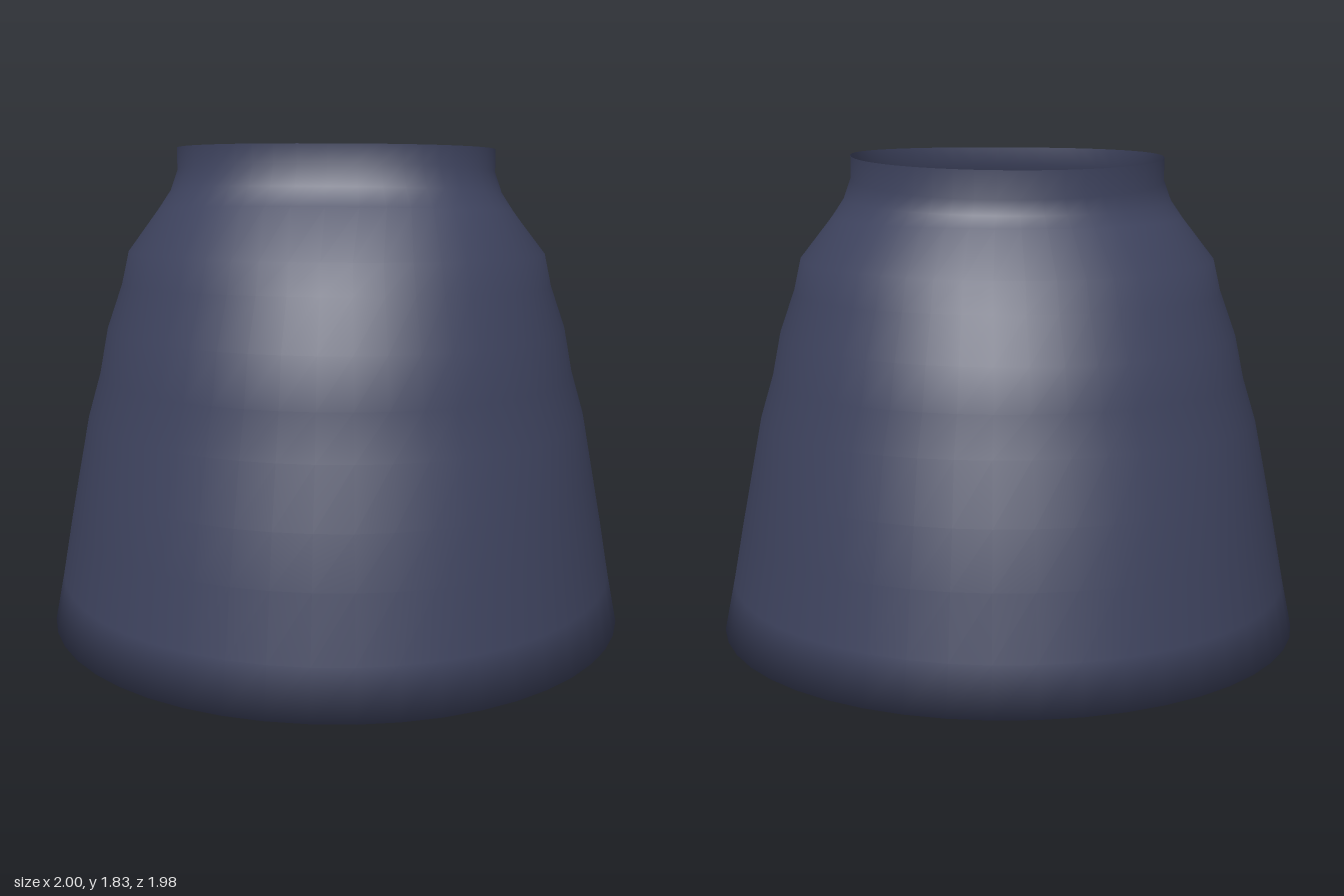
import * as THREE from 'three';

const SIDES = 48;

// Each ring: [side y, front y, back y, half width, front z, back z]
const bodyRings = [
  [0.00, 0.00, 0.00, 0.58, 0.42, -0.42],
  [0.18, 0.185, 0.175, 1.00, 0.99, -0.99],
  [0.35, 0.35, 0.33, 0.965, 0.96, -0.96],
  [0.54, 0.56, 0.53, 0.93, 0.905, -0.91],
  [0.72, 0.73, 0.71, 0.895, 0.87, -0.87],
  [0.90, 0.92, 0.90, 0.86, 0.80, -0.80],
  [1.05, 1.07, 1.03, 0.815, 0.765, -0.765],
  [1.20, 1.23, 1.165, 0.785, 0.725, -0.725],
  [1.34, 1.39, 1.31, 0.735, 0.63, -0.635],
  [1.45, 1.49, 1.41, 0.71, 0.60, -0.60],
  [1.59, 1.64, 1.56, 0.60, 0.435, -0.47],
  [1.65, 1.70, 1.60, 0.56, 0.39, -0.445],
  [1.72, 1.77, 1.65, 0.535, 0.365, -0.43],
  [1.795, 1.83, 1.74, 0.535, 0.365, -0.43],
];

// Short turned-in edge around the lower opening
const lipRings = [
  [0.04, 0.04, 0.04, 0.575, 0.415, -0.415],
  [0.00, 0.00, 0.00, 0.58, 0.42, -0.42],
];

const power = (v, n) => Math.sign(v) * Math.pow(Math.abs(v), 2 / n);

// Joins tilted oval rings into an open tube with shared, smooth vertices
function loft(rings) {
  const positions = [], index = [];
  rings.forEach(([side, front, back, width, zFront, zBack], r) => {
    for (let i = 0; i < SIDES; i++) {
      const a = (i / SIDES) * Math.PI * 2;
      const s = Math.sin(a), c = Math.cos(a);
      // The front half of the neck and the lower opening are a bit squarer
      const n = (r > 9 && c > 0) || width === 0.58 || width === 0.575 ? 2.35 : 2.04;
      const t = power(c, n);
      const y = t > 0 ? side + (front - side) * t : side + (side - back) * t;
      positions.push(width * power(s, n), y, t > 0 ? zFront * t : -zBack * t);
      if (r > 0) {
        const j = (i + 1) % SIDES, lo = (r - 1) * SIDES, hi = r * SIDES;
        index.push(lo + i, lo + j, hi + j, lo + i, hi + j, hi + i);
      }
    }
  });
  const geometry = new THREE.BufferGeometry();
  geometry.setAttribute('position', new THREE.Float32BufferAttribute(positions, 3));
  geometry.setIndex(index);
  geometry.computeVertexNormals();
  return geometry;
}

export function createModel() {
  const group = new THREE.Group();
  group.name = 'flaredSleeve';
  const cloth = new THREE.MeshStandardMaterial({ color: 0x3d425d, side: THREE.DoubleSide });
  cloth.name = 'slate blue';

  // Flared body with an open neck and a tapered underside
  const body = new THREE.Mesh(loft(bodyRings), cloth);
  body.name = 'body';

  const lip = new THREE.Mesh(loft(lipRings), cloth);
  lip.name = 'lowerOpeningLip';

  group.add(body, lip);
  return group;
}
